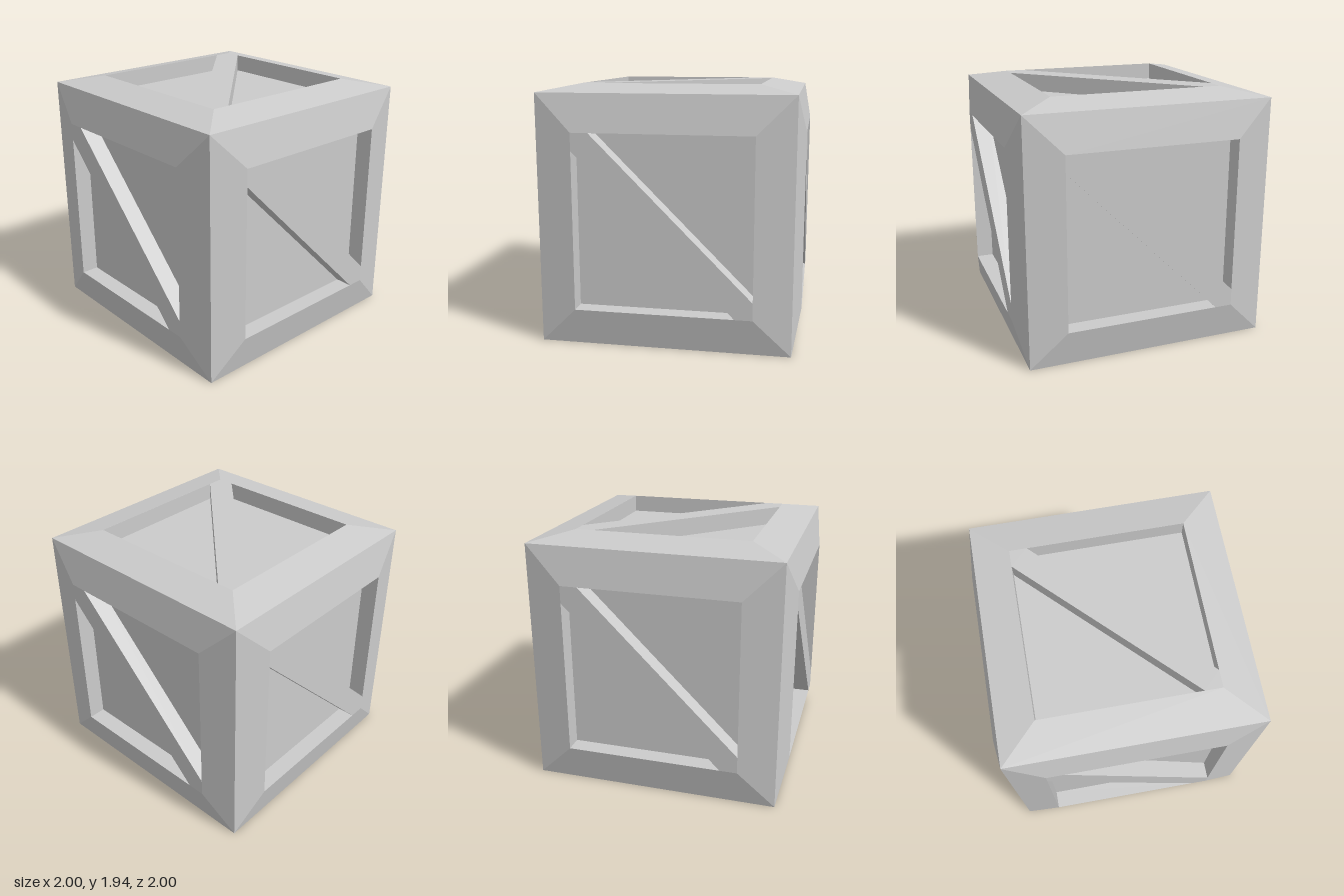
import * as THREE from 'three';

const EDGE = 0.942;   // half size at the crate's outer edges
const OUT = 1.0;      // distance of the raised face from the centre
const OPEN = 0.663;   // half size of the framed opening
const DEPTH = 0.135;  // recess depth
const BRACE = 0.132;  // brace width measured along the frame

const material = new THREE.MeshStandardMaterial({ color: 0xcccccc, flatShading: true });

function polygon(points, Type) {
  return new Type(points.map(([x, y]) => new THREE.Vector2(x, y)));
}

// Sloping four-sided frame border, facing +z
function frameGeometry() {
  const g = new THREE.CylinderGeometry(OPEN * Math.SQRT2, EDGE * Math.SQRT2, OUT - EDGE, 4, 1, true);
  g.rotateY(Math.PI / 4);
  g.rotateX(Math.PI / 2);
  g.translate(0, 0, (OUT + EDGE) / 2);
  return g;
}

// Square with two triangular openings, which leave the diagonal brace
function braceGeometry() {
  const a = OPEN, b = OPEN - BRACE;
  const shape = polygon([[-a, -a], [a, -a], [a, a], [-a, a]], THREE.Shape);
  // hole corners sit a hair inside the outline so the triangulation stays clean
  const e = a - 0.0005;
  shape.holes.push(
    polygon([[-e, b], [-e, -e], [b, -e]], THREE.Path),
    polygon([[e, -b], [e, e], [-b, e]], THREE.Path)
  );
  const g = new THREE.ExtrudeGeometry(shape, { depth: DEPTH, bevelEnabled: false });
  g.translate(0, 0, OUT - DEPTH);
  return g;
}

export function createModel() {
  const model = new THREE.Group();
  model.name = 'crate';
  const add = (parent, geometry, name) => {
    const mesh = new THREE.Mesh(geometry, material);
    mesh.name = name;
    parent.add(mesh);
    return mesh;
  };

  const body = new THREE.Group();
  body.name = 'crateBody';
  body.position.y = EDGE;
  model.add(body);

  // Inner box forms the recessed panels
  const core = 2 * (OUT - DEPTH);
  add(body, new THREE.BoxGeometry(core, core, core), 'recessedPanels');

  // Four sides and the lid share one framed, braced face
  const frame = frameGeometry();
  const brace = braceGeometry();
  const faces = [
    ['front', 0, 0],
    ['left', 0, Math.PI / 2],
    ['back', 0, Math.PI],
    ['right', 0, -Math.PI / 2],
    ['top', -Math.PI / 2, 0],
  ];
  for (const [name, rx, ry] of faces) {
    const face = new THREE.Group();
    face.name = name + 'Face';
    face.rotation.set(rx, ry, 0);
    add(face, frame, name + 'Frame');
    add(face, brace, name + 'Brace');
    body.add(face);
  }

  // Plain flat underside
  const bottom = add(body, new THREE.PlaneGeometry(2 * EDGE, 2 * EDGE), 'bottom');
  bottom.rotation.x = Math.PI / 2;
  bottom.position.y = -EDGE;

  return model;
}
